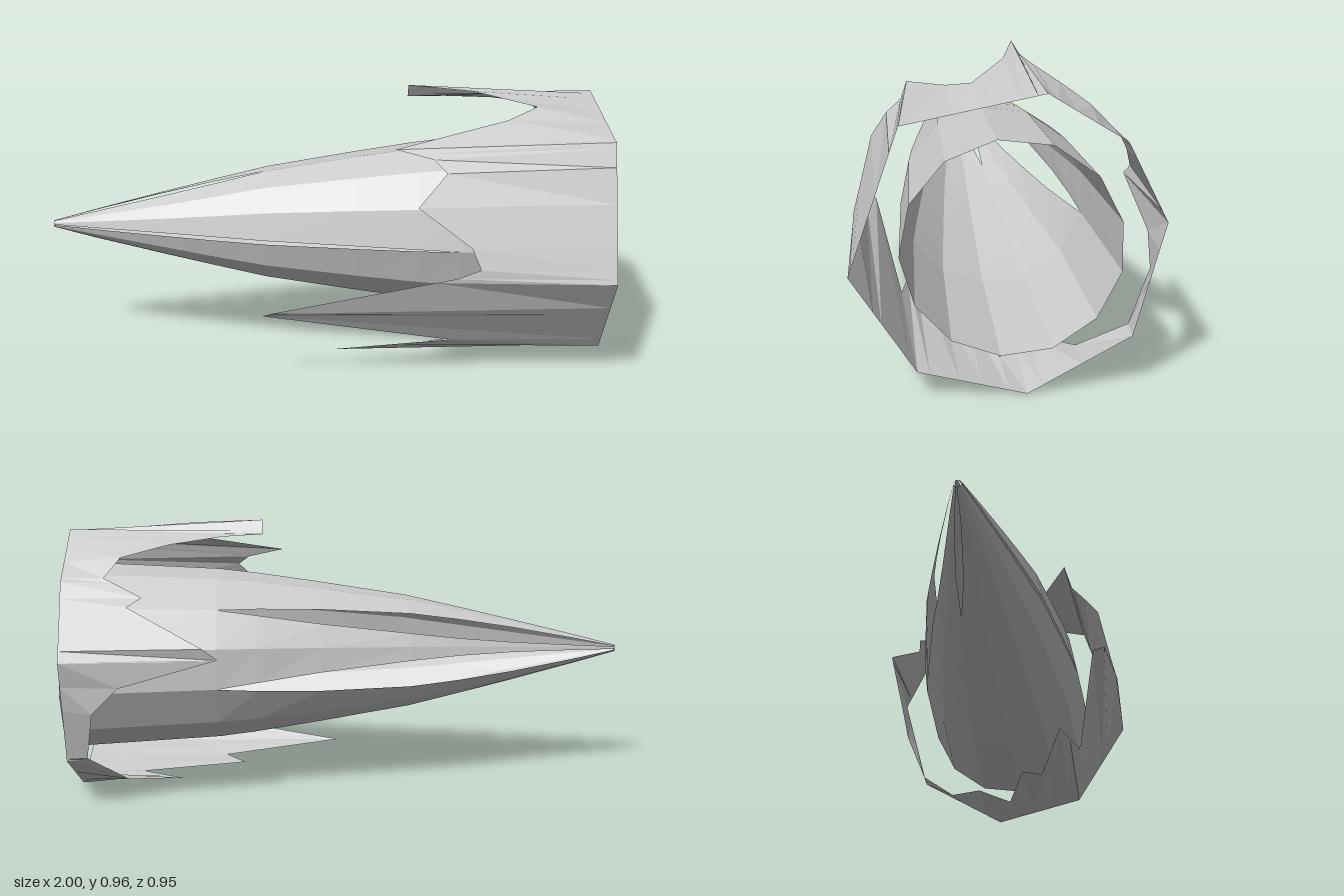
import * as THREE from 'three';

const material = new THREE.MeshStandardMaterial({ color: 0xcccccc, flatShading: true, side: THREE.DoubleSide });
const CY = 0.472; // height of the long axis, which runs along x

// Mesh from strips: each strip is a pair of equally long point rows.
function stripMesh(name, strips) {
  const pos = [];
  for (const [a, b] of strips) {
    for (let i = 0; i + 1 < a.length; i++) {
      for (const p of [a[i], b[i], b[i + 1], a[i], b[i + 1], a[i + 1]]) pos.push(p.x, p.y, p.z);
    }
  }
  const g = new THREE.BufferGeometry();
  g.setAttribute('position', new THREE.Float32BufferAttribute(pos, 3));
  g.computeVertexNormals();
  const mesh = new THREE.Mesh(g, material);
  mesh.name = name;
  return mesh;
}

// Angle around the axis, 0 at +z and rising towards +y.
const angleOf = (p) => (Math.atan2(p.y - CY, p.z) + 2 * Math.PI) % (2 * Math.PI);
const loop = (pts) => pts
  .map(([x, y, z]) => new THREE.Vector3(x, y, z))
  .map((p) => ({ p, a: angleOf(p) }))
  .sort((m, n) => m.a - n.a);

// Point of a closed loop at a given angle.
function sample(lp, a) {
  const n = lp.length;
  for (let i = 0; i < n; i++) {
    const s = lp[i], e = lp[(i + 1) % n];
    const span = (e.a - s.a + 2 * Math.PI) % (2 * Math.PI);
    const d = (a - s.a + 2 * Math.PI) % (2 * Math.PI);
    if (d <= span) return s.p.clone().lerp(e.p, span ? d / span : 0);
  }
  return lp[0].p.clone();
}

// Outer collar: eight-sided rim, torn into spikes at the other end.
function buildCollar() {
  const rim = loop([
    [0.97, 0.855, 0.32], [0.97, 0.94, -0.11], [0.97, 0.79, -0.35], [0.97, 0.54, -0.475],
    [0.97, 0.18, -0.38], [0.97, 0.003, -0.06], [0.97, 0.09, 0.275], [0.97, 0.4, 0.475],
  ]);
  const torn = loop([
    // top
    [0.83, 0.8, -0.33], [0.78, 0.86, -0.27], [0.62, 0.895, -0.2], [0.44, 0.915, -0.14],
    [0.3, 0.92, -0.115], [0.3, 0.968, -0.085], [0.53, 0.955, -0.03], [0.74, 0.925, 0.09],
    [0.63, 0.895, 0.16], [0.23, 0.82, 0.265], [0.36, 0.79, 0.29], [0.4, 0.755, 0.34],
    // front
    [0.3, 0.65, 0.39], [0.48, 0.52, 0.435], [0.51, 0.45, 0.455], [0.43, 0.42, 0.455],
    [-0.2, 0.28, 0.41], [-0.23, 0.255, 0.37], [0.43, 0.13, 0.3],
    // underside
    [0.02, 0.07, 0.24], [0.45, 0.04, 0.15], [0.38, 0.03, 0.08], [0.75, 0.025, 0],
    [0.6, 0.03, -0.11], [0.78, 0.07, -0.24],
    // back
    [0.9, 0.19, -0.38], [0.87, 0.36, -0.45], [0.78, 0.45, -0.46], [0.45, 0.54, -0.45],
    [0.5, 0.58, -0.46], [0.75, 0.71, -0.39], [0.7, 0.74, -0.38],
  ]);
  const angles = [...rim, ...torn].map((k) => k.a).sort((a, b) => a - b);
  angles.push(angles[0]);
  return stripMesh('outerCollar', [[angles.map((a) => sample(rim, a)), angles.map((a) => sample(torn, a))]]);
}

// Pointed inner cone: five petals parted by slots that close towards the open end.
function buildPetals() {
  const rows = [
    [-1, 0.012], [-0.85, 0.052], [-0.6, 0.115], [-0.4, 0.163], [-0.22, 0.205],
    [0.1, 0.257], [0.32, 0.29], [0.46, 0.307], [0.98, 0.335],
  ];
  // slot angle in degrees, x where it closes, half width
  const slots = [
    [-3, 0.46, 0.006], [82, -0.22, 0.012], [140, 0.46, 0.04], [193, 0.46, 0.05], [249, -0.4, 0.014],
  ];
  const halfGap = ([, end, w], x, r) => {
    if (x >= end) return 0;
    return Math.min(0.35, (w * Math.sin((Math.PI * (x + 1)) / (end + 1)) + 0.001) / r);
  };
  const group = new THREE.Group();
  group.name = 'innerCone';
  slots.forEach((s, i) => {
    const e = slots[(i + 1) % slots.length];
    const a0 = THREE.MathUtils.degToRad(s[0]);
    const a1 = THREE.MathUtils.degToRad(e[0] + (e[0] < s[0] ? 360 : 0));
    const n = Math.max(2, Math.round((a1 - a0) / 0.45));
    const lines = rows.map(([x, r]) => {
      const from = a0 + halfGap(s, x, r), to = a1 - halfGap(e, x, r);
      return Array.from({ length: n + 1 }, (_, k) => {
        const a = from + ((to - from) * k) / n;
        const lean = x > 0.9 ? -0.012 * (Math.cos(a) + Math.sin(a)) : 0; // rim leans to the back
        return new THREE.Vector3(x + lean, CY + 0.003 + r * Math.sin(a), r * Math.cos(a) - 0.01 * (x + 1) / 2);
      });
    });
    group.add(stripMesh('petal' + (i + 1), lines.slice(1).map((l, k) => [lines[k], l])));
  });
  return group;
}

export function createModel() {
  const model = new THREE.Group();
  model.name = 'spikedCone';
  model.add(buildCollar(), buildPetals());
  return model;
}
